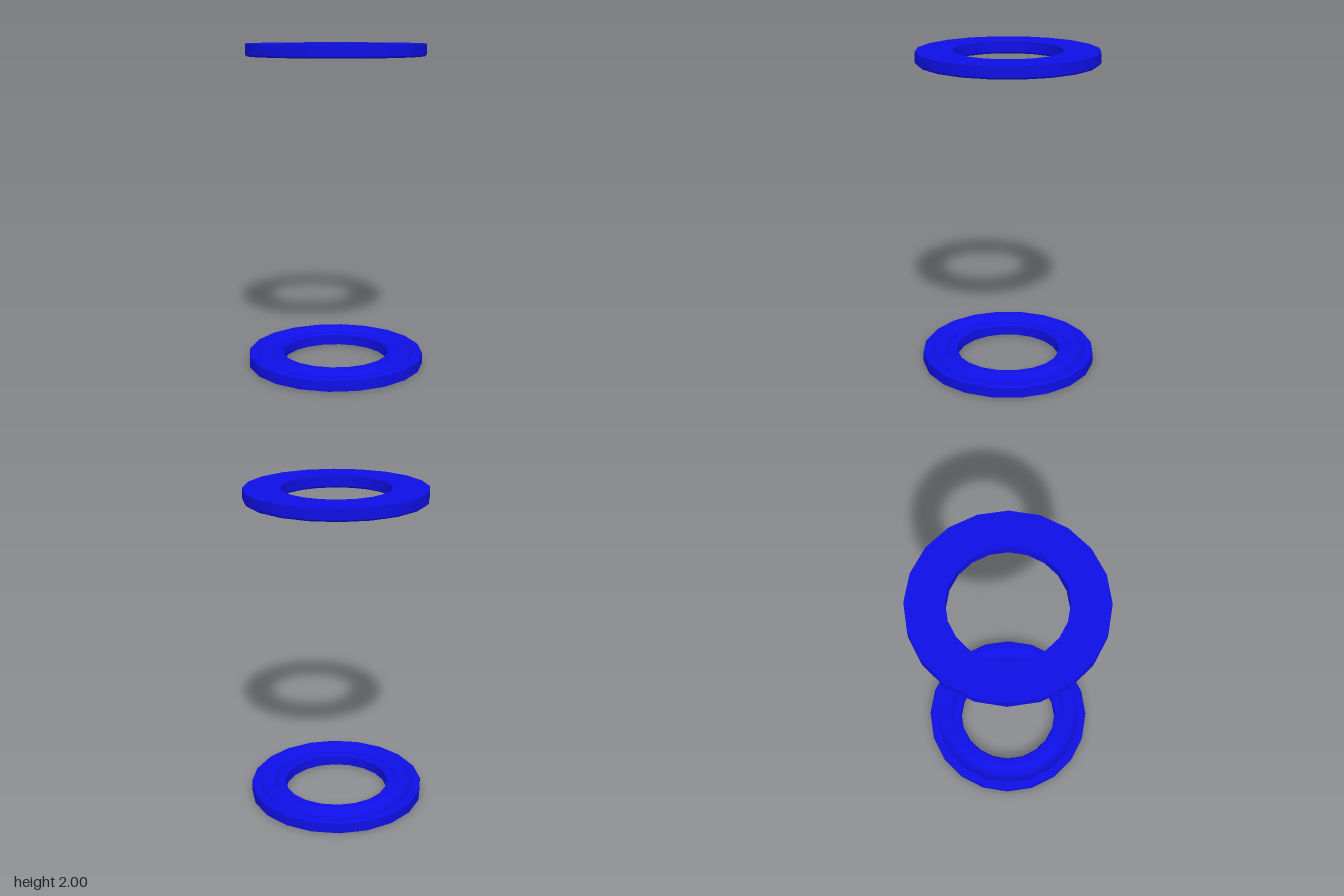
import * as THREE from 'three';
import { toCreasedNormals } from 'three/addons/utils/BufferGeometryUtils.js';

const INNER = 0.33, OUTER = 0.55, THICK = 0.075, BEVEL = 0.01;
const GROOVE_HALF = 0.06, GROOVE_DEPTH = 0.03;

// Closed cross-section of a washer with a round ball groove in its upper face
function washerProfile() {
  const mid = (INNER + OUTER) / 2;
  const radius = (GROOVE_HALF ** 2 + GROOVE_DEPTH ** 2) / (2 * GROOVE_DEPTH);
  const half = Math.asin(GROOVE_HALF / radius);
  const pts = [
    [INNER, 0], [OUTER, 0], [OUTER, THICK - BEVEL], [OUTER - BEVEL, THICK],
  ];
  const steps = 6;
  for (let i = 0; i <= steps; i++) {
    const a = half * (1 - (2 * i) / steps);
    const y = THICK - GROOVE_DEPTH + radius * (1 - Math.cos(a));
    pts.push([mid + radius * Math.sin(a), y]);
  }
  pts.push([INNER + BEVEL, THICK], [INNER, THICK - BEVEL], [INNER, 0]);
  return pts.map(([r, y]) => new THREE.Vector2(r, y));
}

export function createModel() {
  const group = new THREE.Group();
  group.name = 'thrustBearingWashers';
  const material = new THREE.MeshStandardMaterial({ color: 0x0f0fe6 });
  const geometry = toCreasedNormals(new THREE.LatheGeometry(washerProfile(), 20), 0.5);

  const lower = new THREE.Mesh(geometry, material);
  lower.name = 'lowerWasher';

  // Upper washer is turned over so the grooves face each other
  const upper = new THREE.Mesh(geometry, material);
  upper.name = 'upperWasher';
  upper.rotation.x = Math.PI;
  upper.position.y = 2;

  group.add(lower, upper);
  return group;
}
